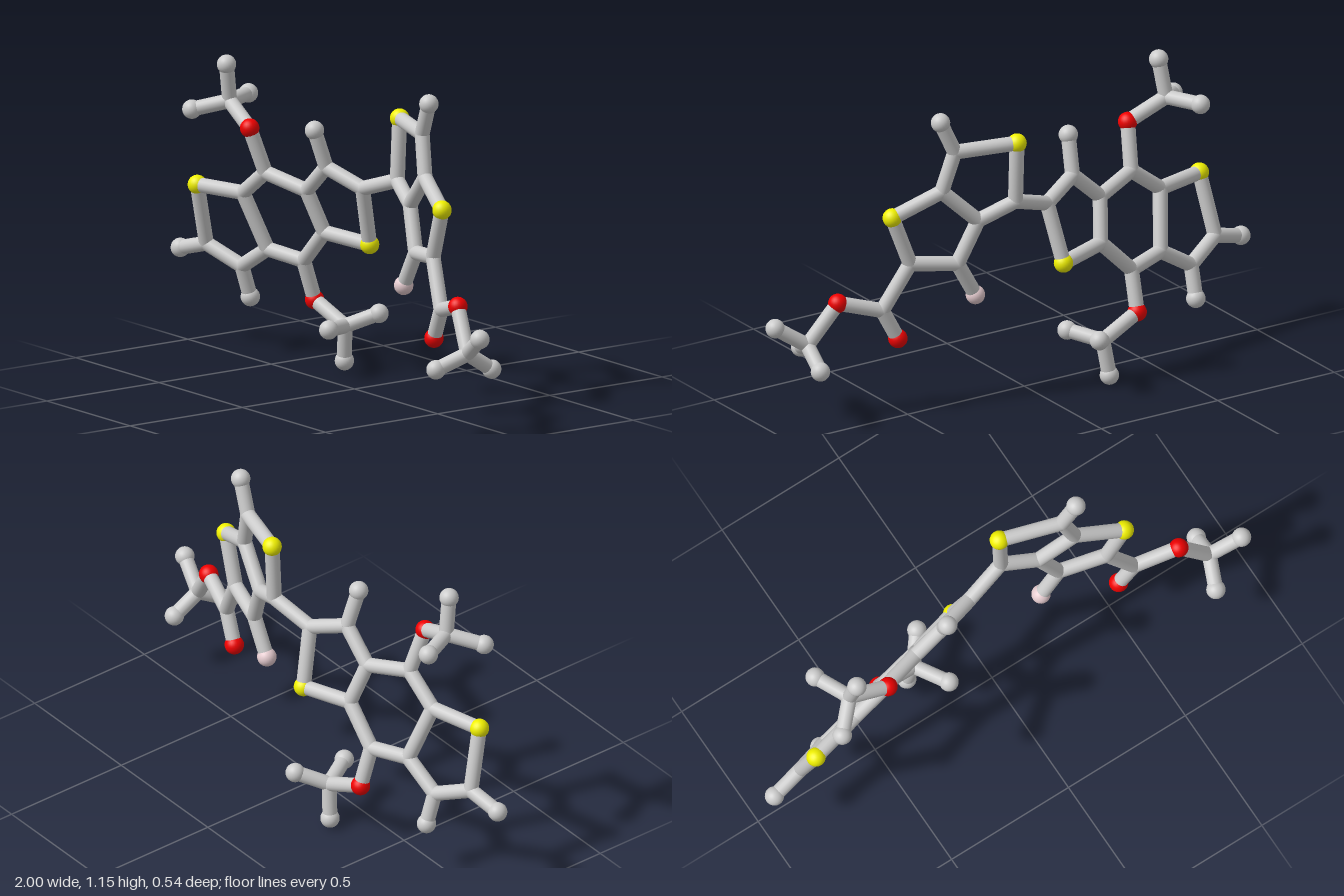
import * as THREE from 'three';

const BALL = 0.035, STICK = 0.027;
const mats = {
  grey: new THREE.MeshStandardMaterial({ color: 0xcccccc }),
  yellow: new THREE.MeshStandardMaterial({ color: 0xf0f000 }),
  red: new THREE.MeshStandardMaterial({ color: 0xee0000 }),
  pink: new THREE.MeshStandardMaterial({ color: 0xe6ccd0 }),
};
const ballGeo = new THREE.SphereGeometry(BALL, 24, 16);
const jointGeo = new THREE.SphereGeometry(STICK, 20, 14);

// Each flat half of the molecule lies in its own plane z = a + b x + c y
const plane = (a, b, c) => (x, y) => a + b * x + c * y;

// Points are [x, y] in the plane or [x, y, z]; balls maps a point name to its colour
function buildPart(name, zOf, points, balls, chains) {
  const group = new THREE.Group();
  group.name = name;
  const pos = {};
  for (const [key, [x, y, z = zOf(x, y)]] of Object.entries(points)) {
    pos[key] = new THREE.Vector3(x, y, z);
    const mesh = new THREE.Mesh(balls[key] ? ballGeo : jointGeo, mats[balls[key] || 'grey']);
    mesh.name = balls[key] ? 'atomBall' : 'joint';
    mesh.position.copy(pos[key]);
    group.add(mesh);
  }
  for (const chain of chains) {
    const keys = chain.split(' ');
    for (let i = 1; i < keys.length; i++) group.add(stick(pos[keys[i - 1]], pos[keys[i]]));
  }
  return group;
}

// Round rod between two points
function stick(a, b) {
  const dir = b.clone().sub(a);
  const rod = new THREE.Mesh(new THREE.CylinderGeometry(STICK, STICK, dir.length(), 20), mats.grey);
  rod.name = 'bond';
  rod.position.copy(a).add(b).multiplyScalar(0.5);
  rod.quaternion.setFromUnitVectors(new THREE.Vector3(0, 1, 0), dir.normalize());
  return rod;
}

export function createModel() {
  const model = new THREE.Group();
  model.name = 'stickMolecule';

  // Three fused rings with two side branches
  model.add(buildPart('threeRingHalf', plane(-0.298, -0.26, 0.294), {
    // outer five-sided ring
    s1: [-0.815, 0.617], a: [-0.842, 0.388], b: [-0.703, 0.323], c: [-0.564, 0.409], d: [-0.612, 0.617],
    tipA: [-0.968, 0.353], tipB: [-0.70, 0.206],
    // middle six-sided ring
    e: [-0.484, 0.714], f: [-0.313, 0.671], g: [-0.28, 0.516], h: [-0.409, 0.388],
    // inner five-sided ring
    i: [-0.195, 0.778], j: [-0.05, 0.719], s2: [-0.083, 0.50], tipI: [-0.206, 0.917],
    // upper branch
    o1: [-0.505, 0.88], m1: [-0.655, 0.95, 0.07],
    m1a: [-0.64, 1.09, 0.095], m1b: [-0.75, 0.915, 0.168], m1c: [-0.717, 0.95, -0.06],
    // lower branch
    o2: [-0.404, 0.24], m2: [-0.245, 0.17, -0.14],
    m2a: [-0.265, 0.037, -0.152], m2b: [-0.168, 0.217, -0.234], m2c: [-0.174, 0.185, -0.015],
    // link to the other half
    link: [0.11, 0.773, -0.11],
  }, {
    s1: 'yellow', s2: 'yellow', o1: 'red', o2: 'red', tipA: 'grey', tipB: 'grey', tipI: 'grey',
    m1a: 'grey', m1b: 'grey', m1c: 'grey', m2a: 'grey', m2b: 'grey', m2c: 'grey',
  }, [
    's1 a b c d s1', 'd e f g h c', 'f i j s2 g', 'a tipA', 'b tipB', 'i tipI', 'j link',
    'e o1 m1 m1a', 'm1b m1 m1c', 'h o2 m2 m2a', 'm2b m2 m2c',
  ]));

  // Two fused rings with a branched tail
  model.add(buildPart('twoRingHalf', plane(-0.107, 0.292, -0.045), {
    // upper ring
    a: [0.11, 0.773], s1: [0.11, 1.0], b: [0.334, 0.992], c: [0.377, 0.842], d: [0.243, 0.714],
    tipB: [0.388, 1.113],
    // lower ring
    s2: [0.553, 0.762], e: [0.484, 0.575], f: [0.313, 0.554], tipF: [0.238, 0.42, -0.043],
    // tail
    g: [0.58, 0.404], o1: [0.521, 0.288], o2: [0.741, 0.452], m: [0.848, 0.302, 0.125],
    ma: [0.965, 0.381, 0.157], mb: [0.805, 0.251, 0.234], mc: [0.858, 0.235, 0.025],
  }, {
    s1: 'yellow', s2: 'yellow', o1: 'red', o2: 'red', tipF: 'pink',
    tipB: 'grey', ma: 'grey', mb: 'grey', mc: 'grey',
  }, [
    'a s1 b c d a', 'c s2 e f d', 'b tipB', 'f tipF', 'e g o1', 'g o2 m ma', 'mb m mc',
  ]));

  return model;
}
